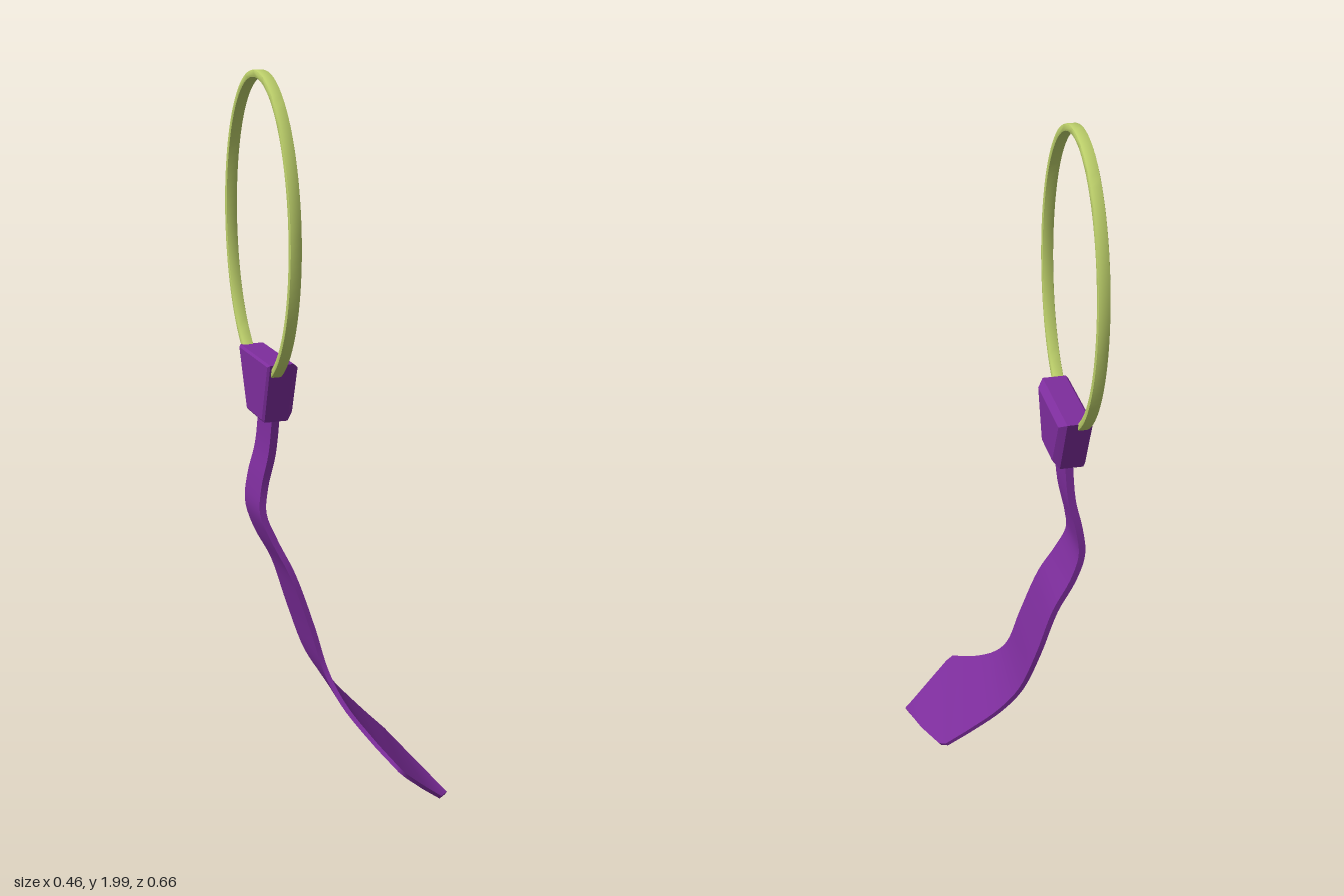
import * as THREE from 'three';
import { toCreasedNormals } from 'three/addons/utils/BufferGeometryUtils.js';

const purple = new THREE.MeshStandardMaterial({ color: 0x7d2d9c });
const lime = new THREE.MeshStandardMaterial({ color: 0xbccf6a });

// Skin a solid through four-cornered sections, ordered counter-clockwise about the direction of travel
function loft(sections, crease) {
  const pos = [];
  const quad = (a, b, c, d) => [a, b, c, a, c, d].forEach(p => pos.push(p.x, p.y, p.z));
  for (let s = 0; s < sections.length - 1; s++) {
    const a = sections[s], b = sections[s + 1];
    for (let i = 0; i < 4; i++) {
      const j = (i + 1) % 4;
      quad(a[i], a[j], b[j], b[i]);
    }
  }
  quad(...[...sections[0]].reverse());
  quad(...sections[sections.length - 1]);
  const geo = new THREE.BufferGeometry();
  geo.setAttribute('position', new THREE.Float32BufferAttribute(pos, 3));
  return toCreasedNormals(geo, crease);
}

const points = list => list.map(p => new THREE.Vector3(...p));

// Elliptical neck loop with softened edges, lying in the yz plane
function neckLoop() {
  const bevel = 0.004, cy = 1.59, cz = -0.04;
  const shape = new THREE.Shape();
  shape.absellipse(-cz, cy, 0.292 - bevel, 0.41 - bevel, 0, Math.PI * 2);
  const hole = new THREE.Path();
  hole.absellipse(-cz, cy, 0.273 + bevel, 0.391 + bevel, 0, Math.PI * 2, true);
  shape.holes.push(hole);
  const depth = 0.031 - 2 * bevel;
  const geo = new THREE.ExtrudeGeometry(shape, {
    depth, curveSegments: 48, bevelSize: bevel, bevelThickness: bevel, bevelSegments: 2,
  });
  geo.translate(0, 0, -depth / 2).rotateY(Math.PI / 2).translate(-0.201, 0, 0);
  return new THREE.Mesh(toCreasedNormals(geo, 0.7), lime);
}

// Tapered knot, chamfered more on its outer face
function knot() {
  const section = (x, inset) => points([
    [x, 1.08 + inset, 0.03 - inset * 0.8],
    [x, 1.08 + inset, -0.118 + inset * 0.8],
    [x, 1.25 - inset * 0.8, -0.184 + inset * 1.2],
    [x, 1.25 - inset * 0.8, 0.089 - inset * 1.2],
  ]);
  const sections = [section(-0.227, 0.007), section(-0.221, 0), section(-0.156, 0), section(-0.138, 0.02)];
  return new THREE.Mesh(loft(sections, 0.2), purple);
}

// Hanging cloth: a thin band between two edge curves, closing to a blunt tip
function cloth() {
  const front = points([
    [-0.18, 1.12, 0.012], [-0.19, 0.98, -0.003], [-0.21, 0.88, -0.012], [-0.218, 0.81, 0],
    [-0.19, 0.73, 0.02], [-0.15, 0.64, 0.045], [-0.1, 0.48, 0.07], [-0.07, 0.36, 0.095],
    [-0.04, 0.28, 0.15], [0.01, 0.205, 0.235], [0.06, 0.145, 0.328],
  ]);
  const back = points([
    [-0.18, 1.12, -0.113], [-0.19, 0.98, -0.128], [-0.21, 0.89, -0.14], [-0.218, 0.81, -0.145],
    [-0.195, 0.73, -0.147], [-0.145, 0.63, -0.147], [-0.1, 0.48, -0.14], [-0.055, 0.34, -0.115],
    [0, 0.25, -0.088], [0.08, 0.16, -0.052], [0.15, 0.09, -0.022],
  ]);
  const steps = 50;
  const rows = [new THREE.CatmullRomCurve3(front).getPoints(steps), new THREE.CatmullRomCurve3(back).getPoints(steps)];
  // pointed end
  rows[0].push(...points([[0.08, 0.125, 0.332], [0.14, 0.07, 0.313], [0.2, 0.018, 0.29]]));
  rows[1].push(...points([[0.166, 0.072, 0.005], [0.2, 0.038, 0.13], [0.229, 0.012, 0.262]]));

  const last = rows[0].length - 1;
  const mid = i => rows[0][i].clone().add(rows[1][i]).multiplyScalar(0.5);
  const sections = rows[0].map((f, i) => {
    const b = rows[1][i];
    const along = mid(Math.min(i + 1, last)).sub(mid(Math.max(i - 1, 0)));
    const half = THREE.MathUtils.lerp(0.011, 0.005, i / last);
    const n = along.cross(f.clone().sub(b)).normalize().multiplyScalar(half);
    return [b.clone().sub(n), f.clone().sub(n), f.clone().add(n), b.clone().add(n)];
  });
  return new THREE.Mesh(loft(sections, 0.8), purple);
}

export function createModel() {
  const group = new THREE.Group();
  group.name = 'necktie';
  const parts = { neckLoop: neckLoop(), knot: knot(), cloth: cloth() };
  for (const [name, mesh] of Object.entries(parts)) {
    mesh.name = name;
    group.add(mesh);
  }
  return group;
}
